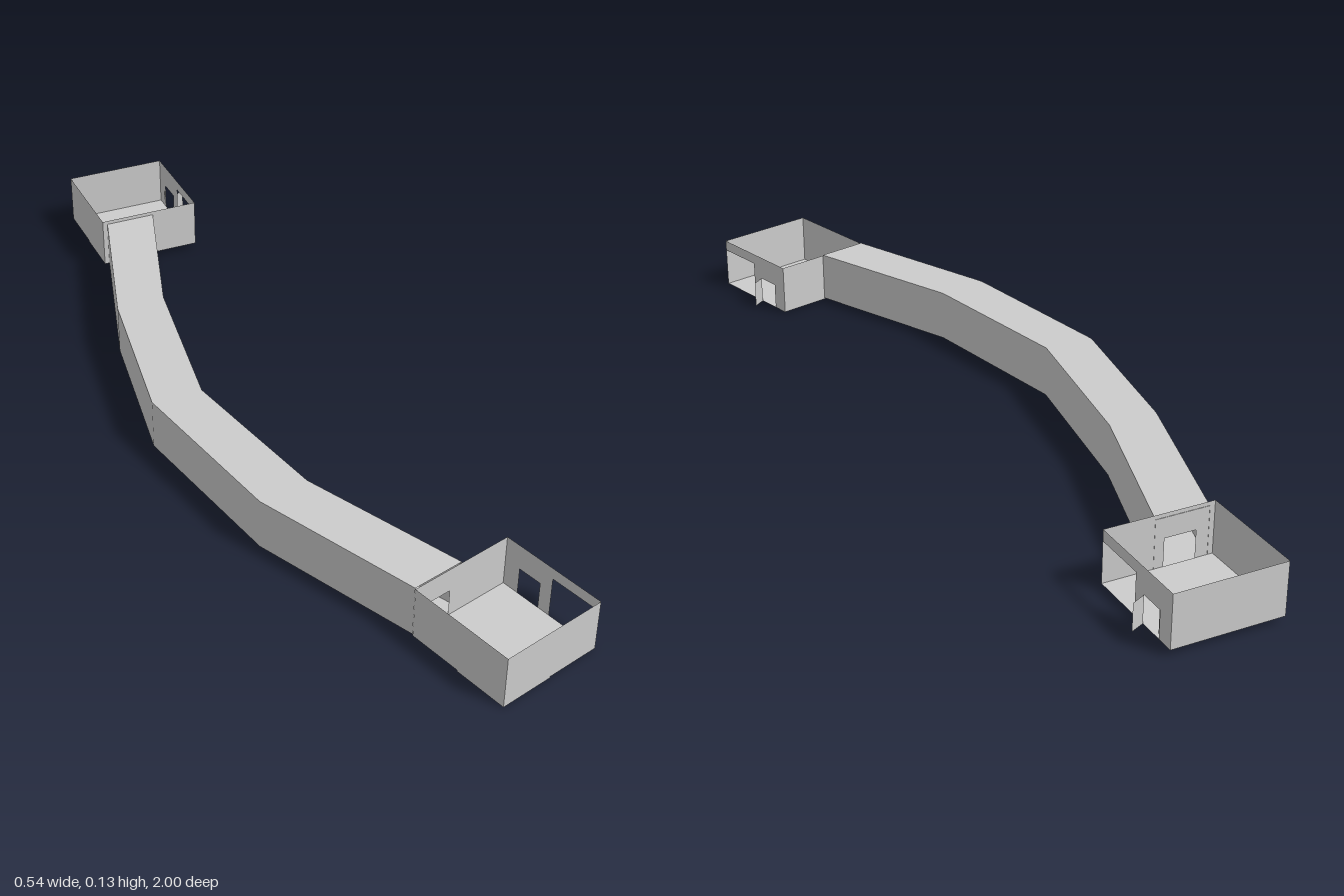
import * as THREE from 'three';

const material = new THREE.MeshStandardMaterial({ color: 0xcccccc, flatShading: true, side: THREE.DoubleSide });
const W = 0.244, HALF = W / 2, H = 0.117;

function addMesh(parent, geometry, name) {
  const mesh = new THREE.Mesh(geometry, material);
  mesh.name = name;
  parent.add(mesh);
  return mesh;
}

// Thin wall with openings [start, end, height] that rise from the floor
function wallGeometry(openings) {
  const pts = openings.length && openings[0][0] === 0 ? [] : [[0, 0]];
  for (const [a, b, h] of openings) {
    if (a > 0) pts.push([a, 0]);
    pts.push([a, h], [b, h], [b, 0]);
  }
  pts.push([W, 0], [W, H], [0, H]);
  return new THREE.ShapeGeometry(new THREE.Shape(pts.map(p => new THREE.Vector2(...p))));
}

// Door leaf standing on the floor between two plan points [x, z]
function doorLeaf(parent, [x0, z0], [x1, z1], name) {
  const leaf = addMesh(parent, new THREE.PlaneGeometry(Math.hypot(x1 - x0, z1 - z0), 0.061), name);
  leaf.position.set((x0 + x1) / 2, 0.0305, (z0 + z1) / 2);
  leaf.rotation.y = -Math.atan2(z1 - z0, x1 - x0);
}

// Roofless square room; the tunnel door sits in the front or the back wall
function room(name, tunnelWall, tunnelDoor) {
  const group = new THREE.Group();
  group.name = name;
  const sideOpenings = [[0, 0.12, 0.092], [0.15, 0.205, 0.061]];
  const walls = { frontWall: [], leftWall: sideOpenings, backWall: [], rightWall: [] };
  walls[tunnelWall] = [tunnelDoor];
  Object.entries(walls).forEach(([wallName, openings], i) => {
    const g = wallGeometry(openings).translate(-HALF, 0, HALF).rotateY(i * Math.PI / 2);
    addMesh(group, g, wallName);
  });
  addMesh(group, new THREE.PlaneGeometry(W, W).rotateX(-Math.PI / 2), 'floor');
  // Slab under one quarter of the floor
  const slab = addMesh(group, new THREE.BoxGeometry(HALF, 0.003, HALF), 'floorSlab');
  slab.position.set(-HALF / 2, -0.0015, HALF / 2);
  // Door ajar, swung outwards
  doorLeaf(group, [HALF, HALF - 0.15], [HALF + 0.031, HALF - 0.164], 'outerDoorLeaf');
  return group;
}

// Rectangular tube that follows pairs of plan points [xLeft, zLeft, xRight, zRight]
function tunnelGeometry(stations, bottom, top) {
  const rings = stations.map(([xa, za, xb, zb]) => [
    [xa, bottom, za], [xa, top, za], [xb, top, zb], [xb, bottom, zb],
  ]);
  const pos = [];
  for (let i = 0; i < rings.length - 1; i++) {
    for (let j = 0; j < 4; j++) {
      const k = (j + 1) % 4;
      const a = rings[i][j], b = rings[i][k], c = rings[i + 1][k], d = rings[i + 1][j];
      pos.push(...a, ...d, ...c, ...a, ...c, ...b);
    }
  }
  const g = new THREE.BufferGeometry();
  g.setAttribute('position', new THREE.Float32BufferAttribute(pos, 3));
  g.computeVertexNormals();
  return g;
}

export function createModel() {
  const model = new THREE.Group();
  model.name = 'tunnelWithRooms';

  // Bent tunnel between the two rooms
  addMesh(model, tunnelGeometry([
    [-0.1, -0.757, 0.02, -0.757],
    [-0.21, -0.38, -0.095, -0.385],
    [-0.27, 0, -0.155, 0],
    [-0.195, 0.405, -0.08, 0.38],
    [-0.032, 0.762, 0.085, 0.73],
  ], 0.006, 0.122), 'tunnel');

  // Back room
  const backRoom = room('backRoom', 'frontWall', [0.04, 0.11, 0.062]);
  backRoom.position.set(0.01, 0.014, -0.878);
  doorLeaf(backRoom, [HALF, HALF - 0.213], [HALF - 0.01, HALF - 0.188], 'innerDoorLeaf');
  model.add(backRoom);

  // Front room, turned to the side
  const frontRoom = room('frontRoom', 'backWall', [W - 0.093, W - 0.023, 0.062]);
  frontRoom.position.set(0.118, 0.003, 0.848);
  frontRoom.rotation.y = 0.27;
  model.add(frontRoom);

  return model;
}
